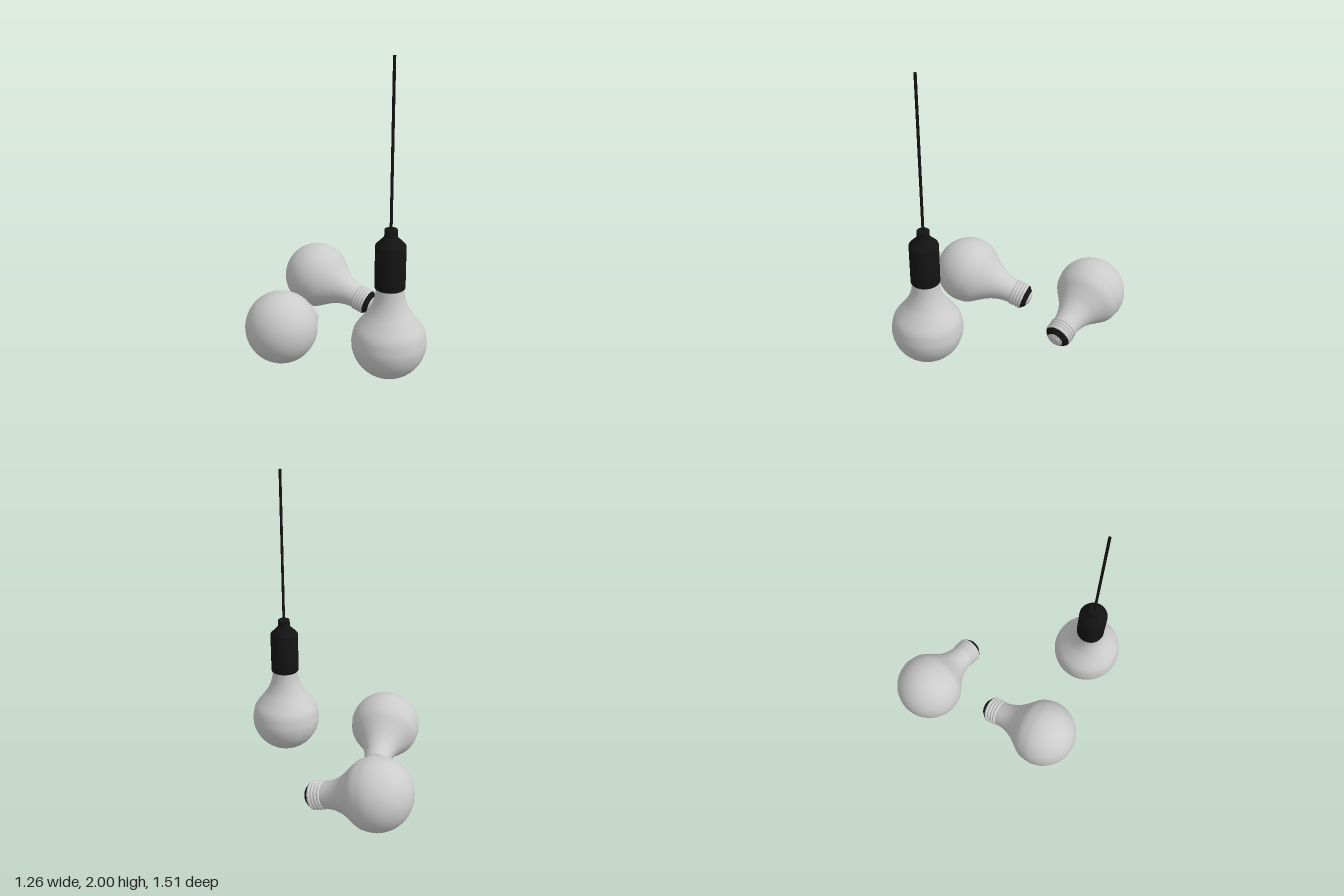
import * as THREE from 'three';
import { toCreasedNormals } from 'three/addons/utils/BufferGeometryUtils.js';

const grey = new THREE.MeshStandardMaterial({ color: 0xcccccc });
const black = new THREE.MeshStandardMaterial({ color: 0x141414 });
const R = 0.233; // radius of the round end of a bulb

// Turned part from [radius, height] pairs listed from bottom to top
function turned(name, profile, material, crease = 0.5) {
  const points = profile.map(([r, y]) => new THREE.Vector2(r, y));
  const mesh = new THREE.Mesh(toCreasedNormals(new THREE.LatheGeometry(points, 40), crease), material);
  mesh.name = name;
  return mesh;
}

// Bulb along +y, with the centre of its round end at the origin
function makeBulb(name) {
  const bulb = new THREE.Group();
  bulb.name = name;

  // Glass: a half sphere that flows into a slim neck
  const glass = [];
  for (let i = 0; i < 14; i++) {
    const a = (i / 14) * Math.PI / 2;
    glass.push([R * Math.sin(a), -R * Math.cos(a)]);
  }
  const shoulder = new THREE.SplineCurve([
    [R, 0], [0.217, 0.08], [0.168, 0.15], [0.132, 0.2], [0.107, 0.25], [0.092, 0.3], [0.084, 0.355],
  ].map(([r, y]) => new THREE.Vector2(r, y)));
  shoulder.getPoints(24).forEach((p) => glass.push([p.x, p.y]));
  bulb.add(turned('glass', glass, grey, 1));

  // Screw base with four rounded ridges
  const screw = [[0.08, 0.35]];
  const ridges = 4, steps = 6, start = 0.352, pitch = 0.0225;
  for (let i = 0; i <= ridges * steps; i++) {
    const bump = Math.abs(Math.sin((i / steps) * Math.PI));
    screw.push([0.084 + 0.008 * bump, start + (i / steps) * pitch]);
  }
  screw.push([0.08, 0.446]);
  bulb.add(turned('screwBase', screw, grey, 0.9));

  // Black insulator and the metal contact at the tip
  bulb.add(turned('insulator', [[0.085, 0.442], [0.082, 0.447], [0.056, 0.472], [0, 0.472]], black));
  bulb.add(turned('contact', [[0.056, 0.47], [0.054, 0.474], [0.036, 0.482], [0.033, 0.485], [0, 0.486]], grey));
  return bulb;
}

export function createModel() {
  const model = new THREE.Group();
  model.name = 'lightBulbs';

  // Hanging lamp
  const lamp = new THREE.Group();
  lamp.name = 'hangingLamp';
  lamp.position.set(-0.134, 0, 0.518);
  const hung = makeBulb('hangingBulb');
  hung.position.y = 0.244;
  lamp.add(hung);
  lamp.add(turned('socket', [
    [0, 0.6], [0.091, 0.6], [0.094, 0.604], [0.094, 0.868], [0.091, 0.876],
    [0.042, 0.925], [0.04, 0.93], [0.04, 0.972], [0.037, 0.976], [0, 0.976],
  ], black));
  const cord = new THREE.Mesh(new THREE.CylinderGeometry(0.009, 0.009, 1.03, 16), black);
  cord.name = 'cord';
  cord.position.y = 1.485;
  lamp.add(cord);
  model.add(lamp);

  // Loose bulbs resting on round end and screw base: position and axis
  const up = new THREE.Vector3(0, 1, 0);
  [
    ['lyingBulbLeft', [0.395, R, -0.522], [0.135, -0.27, 0.955]],
    ['lyingBulbRight', [-0.397, R, -0.14], [0.905, -0.27, -0.33]],
  ].forEach(([name, position, axis]) => {
    const bulb = makeBulb(name);
    bulb.position.set(...position);
    bulb.quaternion.setFromUnitVectors(up, new THREE.Vector3(...axis).normalize());
    model.add(bulb);
  });
  return model;
}
